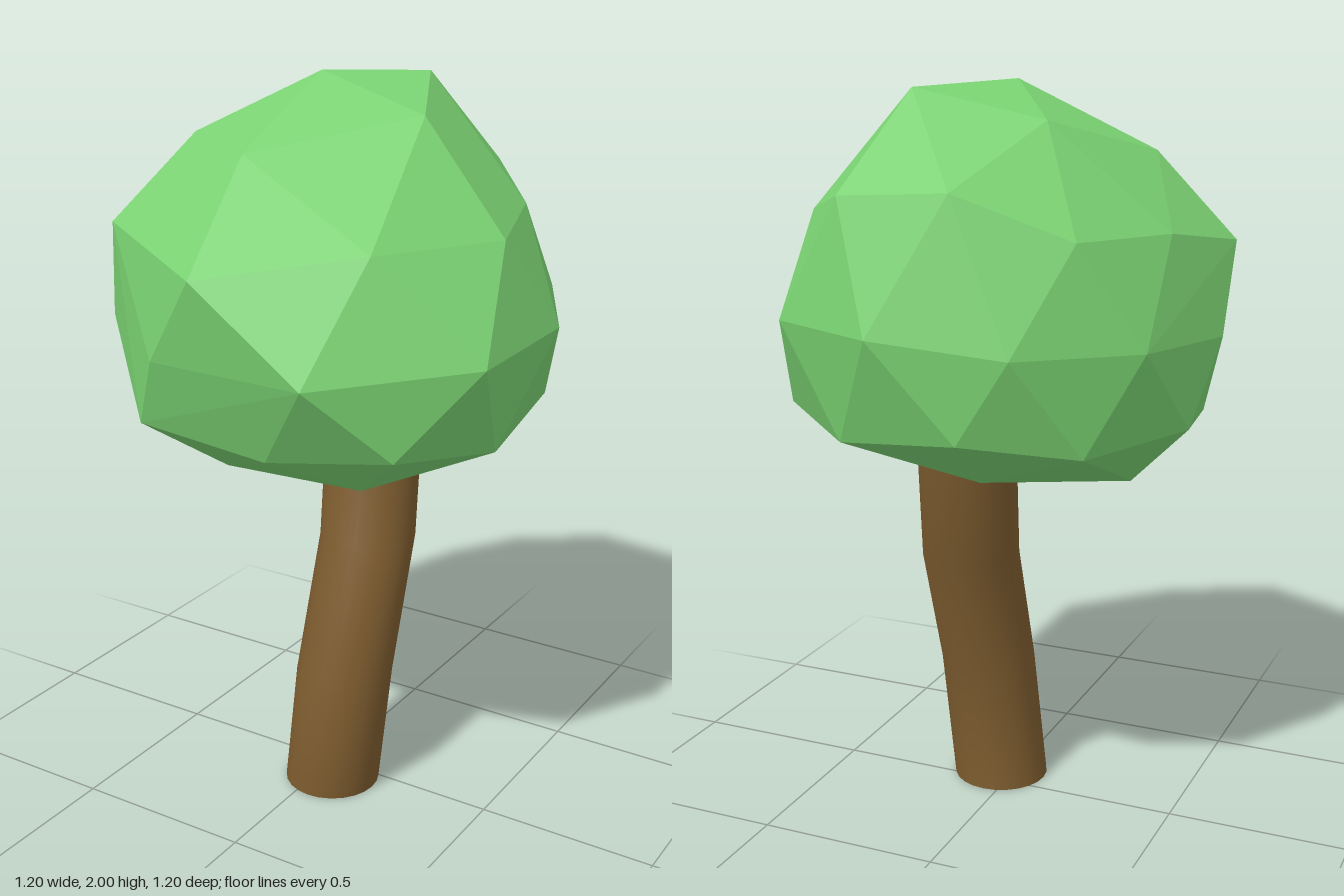
import * as THREE from 'three';
import { mergeVertices } from 'three/addons/utils/BufferGeometryUtils.js';
import { ConvexGeometry } from 'three/addons/geometries/ConvexGeometry.js';

const leafGreen = new THREE.MeshStandardMaterial({ color: 0x7ad272, flatShading: true });
leafGreen.name = 'leafGreen';
const barkBrown = new THREE.MeshStandardMaterial({ color: 0x7d5c2f, side: THREE.DoubleSide });
barkBrown.name = 'barkBrown';

// Bent open tube: level rings of a cylinder are slid onto the trunk's path
function createTrunk() {
  const height = 1.08;
  const path = [[0.04, 0.065], [0.083, 0.07], [0.07, -0.075], [0.052, -0.14]]; // x, z per ring
  let geometry = new THREE.CylinderGeometry(0.134, 0.134, height, 24, path.length - 1, true);
  geometry.translate(0, height / 2, 0);
  const pos = geometry.attributes.position;
  for (let i = 0; i < pos.count; i++) {
    const [x, z] = path[Math.round((pos.getY(i) / height) * (path.length - 1))];
    pos.setX(i, pos.getX(i) + x);
    pos.setZ(i, pos.getZ(i) + z);
  }
  geometry.deleteAttribute('uv');
  geometry.deleteAttribute('normal');
  geometry = mergeVertices(geometry);
  geometry.computeVertexNormals();
  const trunk = new THREE.Mesh(geometry, barkBrown);
  trunk.name = 'trunk';
  return trunk;
}

// Faceted crown: uneven rings of points from top to bottom, wrapped in a hull
function createCrown() {
  const rings = [
    // tip and upper ring
    [-0.05, 2.0, -0.03],
    [0.28, 1.915, 0.02], [-0.07, 1.83, 0.305], [-0.4, 1.825, 0.05],
    [-0.21, 1.91, -0.23], [0.13, 1.985, -0.28],
    // shoulder
    [0.525, 1.64, 0.05], [0.335, 1.64, 0.37], [-0.03, 1.58, 0.595], [-0.45, 1.63, 0.35],
    [-0.6, 1.6, 0.11], [-0.505, 1.64, -0.14], [-0.35, 1.64, -0.39], [-0.07, 1.755, -0.5],
    [0.24, 1.735, -0.48], [0.435, 1.67, -0.25],
    // widest ring
    [0.59, 1.375, 0.26], [0.265, 1.35, 0.57], [-0.19, 1.345, 0.545], [-0.525, 1.355, 0.27],
    [-0.6, 1.365, 0.01], [-0.5, 1.37, -0.3], [-0.24, 1.375, -0.54], [0.11, 1.41, -0.6],
    [0.43, 1.41, -0.45], [0.6, 1.39, -0.125],
    // underside
    [0.54, 1.11, 0.095], [0.42, 1.15, 0.4], [0.1, 1.115, 0.475], [-0.28, 1.15, 0.48],
    [-0.49, 1.11, 0.24], [-0.55, 1.14, -0.1], [-0.37, 1.11, -0.38], [-0.1, 1.155, -0.54],
    [0.25, 1.115, -0.475], [0.5, 1.155, -0.28],
    // bottom ring and base point
    [0.23, 0.985, 0.23], [-0.16, 0.99, 0.27], [-0.385, 0.975, -0.06],
    [-0.05, 0.99, -0.28], [0.29, 0.99, -0.14], [-0.04, 0.95, 0.055],
  ];
  const points = rings.map((p) => new THREE.Vector3(...p));
  const crown = new THREE.Mesh(new ConvexGeometry(points), leafGreen);
  crown.name = 'crown';
  return crown;
}

export function createModel() {
  const tree = new THREE.Group();
  tree.name = 'tree';
  tree.add(createTrunk(), createCrown());
  return tree;
}
